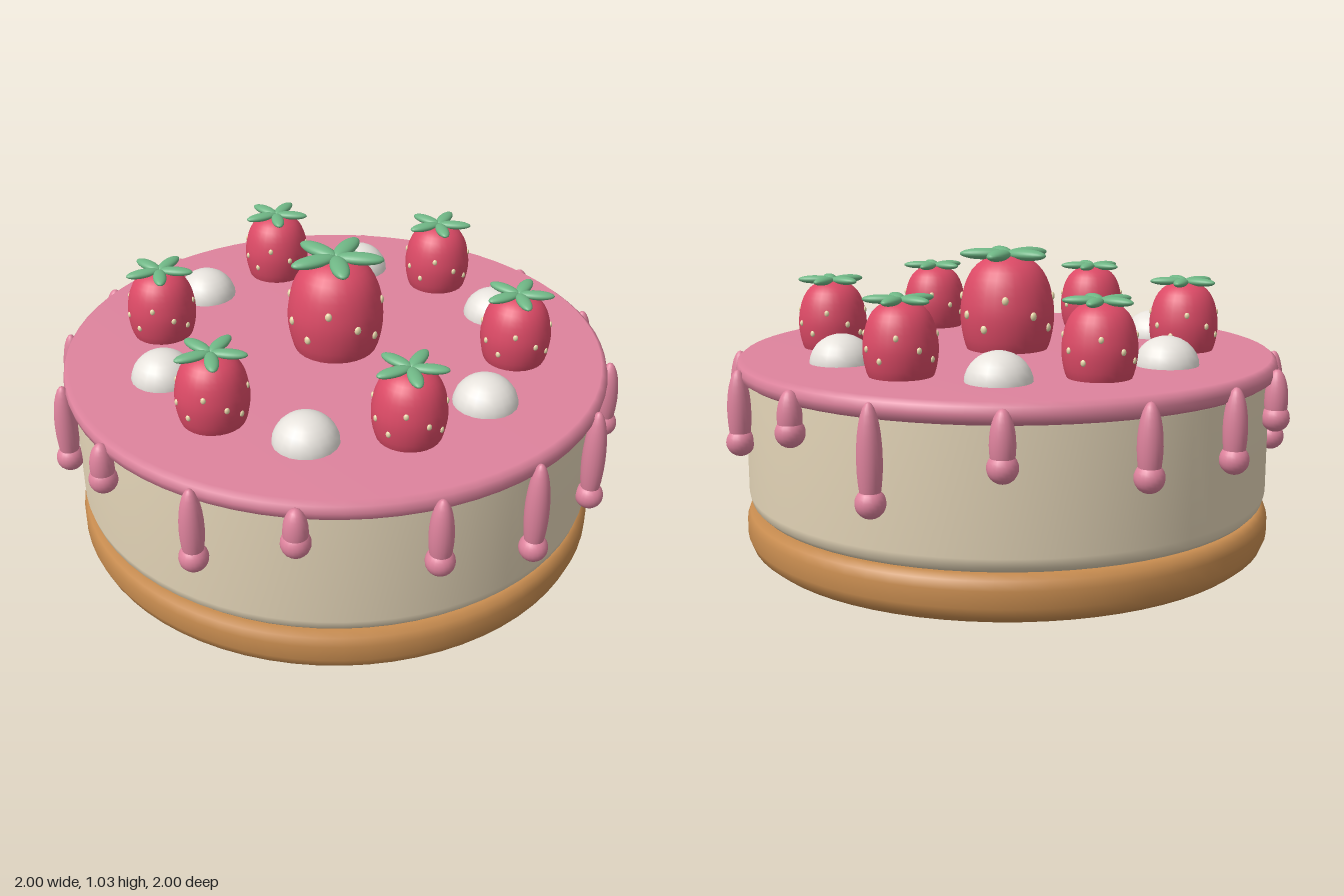
import * as THREE from 'three';

const mat = (name, color) => {
  const m = new THREE.MeshStandardMaterial({ color });
  m.name = name;
  return m;
};

export function createModel() {
  const crustMat = mat('biscuit', 0xc98d50);
  const fillingMat = mat('cream filling', 0xe2d3b6);
  const glazeMat = mat('pink glaze', 0xde839d);
  const berryMat = mat('berry red', 0xdc4a66);
  const leafMat = mat('leaf green', 0x6fb685);
  const creamMat = mat('whipped cream', 0xe8e4de);
  const seedMat = mat('seed', 0xecdcae);

  const cake = new THREE.Group();
  cake.name = 'cake';

  const add = (parent, name, geometry, material) => {
    const mesh = new THREE.Mesh(geometry, material);
    mesh.name = name;
    parent.add(mesh);
    return mesh;
  };
  // profiles run from the bottom of the axis to the top
  const lathe = (points, segments) =>
    new THREE.LatheGeometry(points.map(([r, y]) => new THREE.Vector2(r, y)), segments);

  // round layers
  add(cake, 'crust', lathe([[0, 0], [0.885, 0], [0.912, 0.022], [0.925, 0.055],
    [0.925, 0.11], [0.915, 0.138], [0.895, 0.155], [0, 0.155]], 72), crustMat);
  add(cake, 'filling', lathe([[0, 0.15], [0.89, 0.157], [0.907, 0.175], [0.915, 0.205],
    [0.915, 0.6], [0.9, 0.63], [0, 0.63]], 72), fillingMat);
  add(cake, 'glaze', lathe([[0, 0.605], [0.92, 0.605], [0.938, 0.617], [0.943, 0.64],
    [0.937, 0.662], [0.92, 0.675], [0, 0.675]], 72), glazeMat);

  // drips: [x, z, height of the bead]
  const drips = [
    [0.025, 0.96, 0.54], [0.44, 0.84, 0.435], [0.72, 0.62, 0.345], [0.906, 0.30, 0.335],
    [0.963, -0.025, 0.42], [0.872, -0.40, 0.42], [0.631, -0.72, 0.53], [0.364, -0.885, 0.36],
    [-0.027, -0.96, 0.49], [-0.455, -0.85, 0.435], [-0.727, -0.62, 0.435], [-0.907, -0.315, 0.50],
    [-0.957, 0.055, 0.35], [-0.866, 0.404, 0.38], [-0.63, 0.71, 0.53], [-0.30, 0.905, 0.41],
  ];
  const ball = new THREE.SphereGeometry(1, 20, 14);
  for (const [x, z, y] of drips) {
    const drip = new THREE.Group();
    drip.name = 'drip';
    const angle = Math.atan2(x, z);
    drip.position.set(Math.sin(angle) * 0.952, 0, Math.cos(angle) * 0.952);
    cake.add(drip);
    const top = 0.662, bottom = y - 0.04;
    const run = add(drip, 'dripRun', ball, glazeMat);
    run.position.y = (top + bottom) / 2;
    run.scale.set(0.039, (top - bottom) / 2, 0.039);
    const bead = add(drip, 'dripBead', ball, glazeMat);
    bead.position.y = y;
    bead.scale.setScalar(0.047);
  }

  // strawberry, with its origin on the glaze
  const berryProfile = [[0, -0.10], [0.1, -0.07], [0.143, 0], [0.159, 0.055], [0.166, 0.115],
    [0.162, 0.17], [0.146, 0.235], [0.115, 0.288], [0.065, 0.322], [0, 0.335]];
  const berryCurve = new THREE.SplineCurve(berryProfile.map(([r, y]) => new THREE.Vector2(r, y)));
  const berryPoints = berryCurve.getPoints(20).map(p => [Math.max(p.x, 0), p.y]);
  const berryGeometry = lathe(berryPoints, 28);
  const seedRows = [[0.185, 0.158, 0], [0.13, 0.165, 0.62], [0.085, 0.163, 1.1]];

  const addBerry = (x, z, scale) => {
    const berry = new THREE.Group();
    berry.name = 'strawberry';
    berry.position.set(x, 0.675, z);
    berry.scale.setScalar(scale);
    cake.add(berry);
    add(berry, 'fruit', berryGeometry, berryMat);
    // leafy crown
    for (let i = 0; i < 5; i++) {
      const a = (i * Math.PI * 2) / 5;
      const leaf = add(berry, 'leaf', ball, leafMat);
      leaf.position.set(Math.cos(a) * 0.083, 0.333, -Math.sin(a) * 0.083);
      leaf.rotation.y = a;
      leaf.scale.set(0.083, 0.02, 0.032);
    }
    // rows of seeds
    for (const [y, r, turn] of seedRows) {
      for (let i = 0; i < 4; i++) {
        const a = turn + (i * Math.PI) / 2;
        const seed = add(berry, 'seed', ball, seedMat);
        seed.position.set(Math.sin(a) * r, y, Math.cos(a) * r);
        seed.rotation.y = a;
        seed.scale.set(0.012, 0.015, 0.009);
      }
    }
  };

  addBerry(0, 0, 1);

  // ring of berries alternating with cream domes
  for (let i = 0; i < 12; i++) {
    const a = (i * Math.PI) / 6;
    const x = Math.cos(a) * 0.62, z = Math.sin(a) * 0.62;
    if (i % 2 === 0) {
      addBerry(x, z, 0.72);
    } else {
      const dome = add(cake, 'creamDome', ball, creamMat);
      dome.position.set(x, 0.67, z);
      dome.scale.set(0.108, 0.1, 0.108);
    }
  }

  return cake;
}
